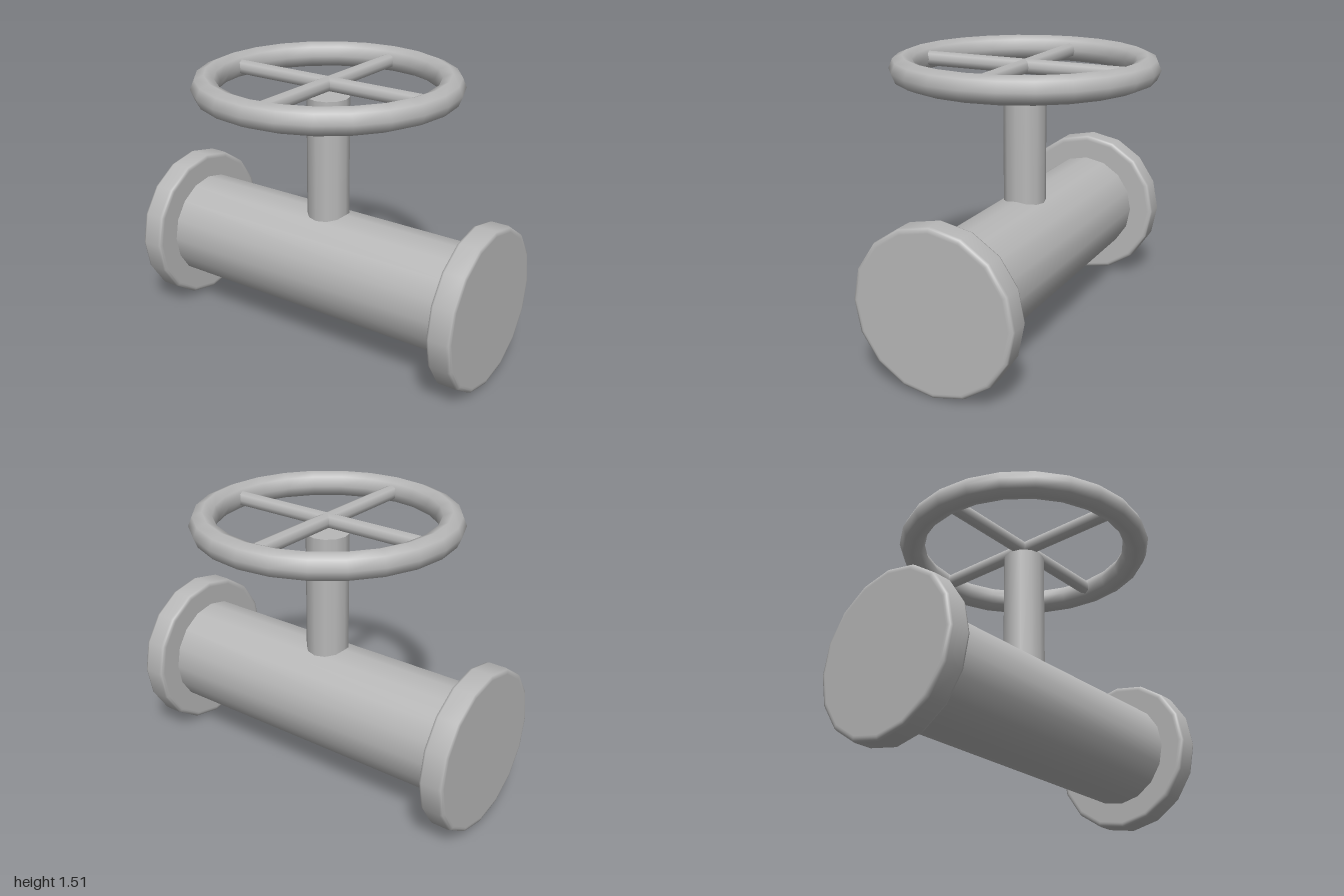
import * as THREE from 'three';

export function createModel() {
  const model = new THREE.Group();
  model.name = 'pipeValve';
  const metal = new THREE.MeshStandardMaterial({ color: 0xb8b8b8 });
  metal.name = 'grey metal';

  const add = (name, geometry, x, y, z) => {
    const mesh = new THREE.Mesh(geometry, metal);
    mesh.name = name;
    mesh.position.set(x, y, z);
    model.add(mesh);
    return mesh;
  };

  const pipeY = 0.433;
  const wheelY = 1.436;

  // Horizontal pipe body, its ends buried in the flanges
  add('pipe', new THREE.CylinderGeometry(0.295, 0.295, 1.8, 16, 1, true).rotateZ(Math.PI / 2), 0, pipeY, 0);

  // Closed end flanges with a softened rim
  const half = 0.065, radius = 0.432, bevel = 0.018;
  const profile = [
    [0, -half], [radius - bevel - 0.01, -half], [radius - bevel, -half],
    [radius - 0.005, -half + 0.005], [radius, -half + bevel],
    [radius, half - bevel], [radius - 0.005, half - 0.005],
    [radius - bevel, half], [radius - bevel - 0.01, half], [0, half],
  ].map(([r, y]) => new THREE.Vector2(r, y));
  for (const side of [1, -1]) {
    const flange = new THREE.LatheGeometry(profile, 16).rotateZ(-side * Math.PI / 2);
    add(side > 0 ? 'leftFlange' : 'rightFlange', flange, side * (1 - half), pipeY, 0);
  }

  // Upright stem from inside the pipe to just under the spokes
  const stemBottom = 0.6, stemTop = 1.37;
  add('stem', new THREE.CylinderGeometry(0.114, 0.114, stemTop - stemBottom, 12), 0, (stemBottom + stemTop) / 2, 0);

  // Handwheel rim
  add('wheelRim', new THREE.TorusGeometry(0.634, 0.071, 8, 24).rotateX(Math.PI / 2), 0, wheelY, 0);

  // Two crossing bars form the four spokes
  for (const [name, turn] of [['crosswiseSpoke', 0], ['lengthwiseSpoke', Math.PI / 2]]) {
    const bar = new THREE.CylinderGeometry(0.04, 0.04, 1.2, 8).rotateZ(Math.PI / 2);
    add(name, bar, 0, wheelY, 0).rotation.y = turn;
  }

  return model;
}
